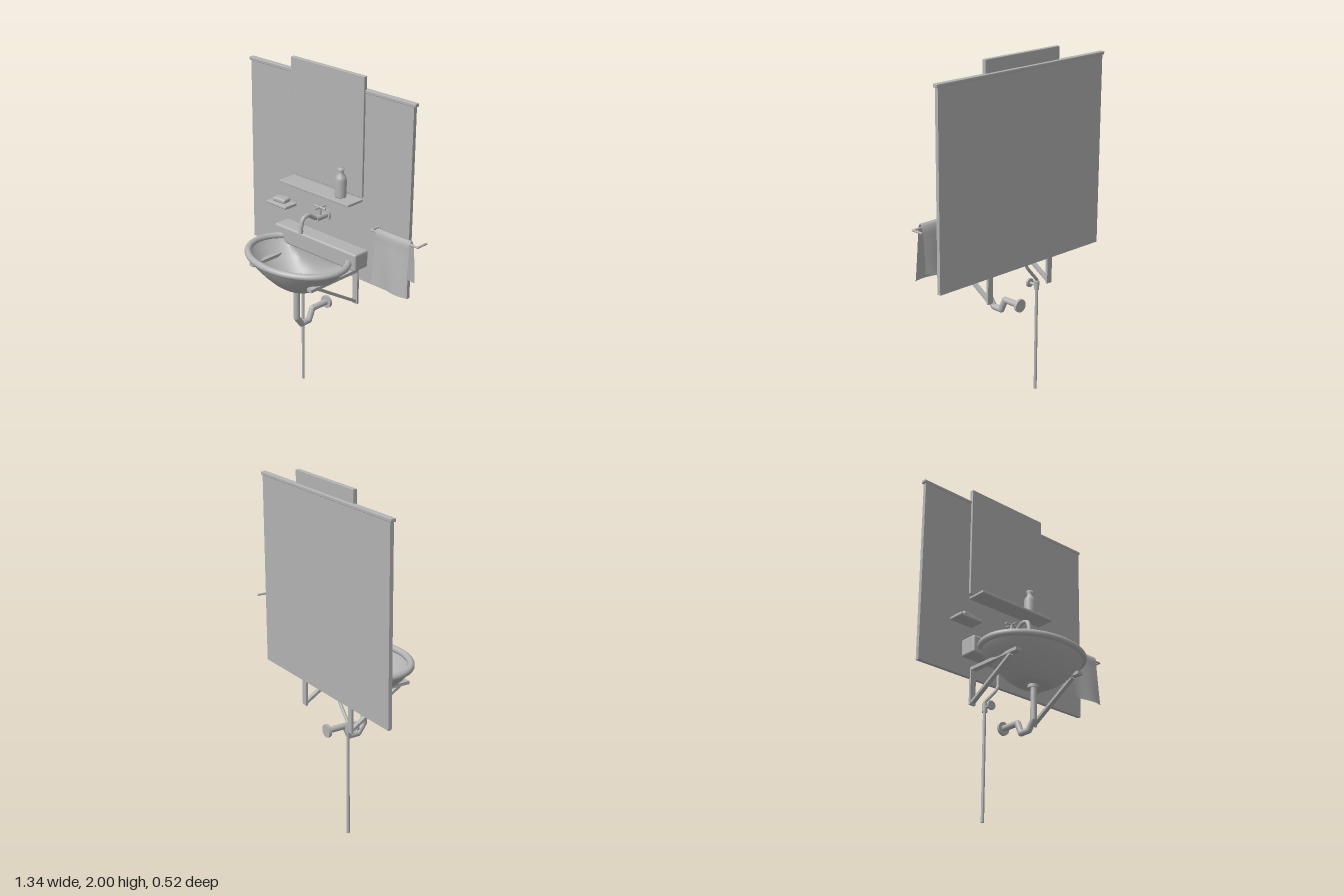
import * as THREE from 'three';
import { RoundedBoxGeometry } from 'three/addons/geometries/RoundedBoxGeometry.js';

const V = (x, y, z) => new THREE.Vector3(x, y, z);

export function createModel() {
  const root = new THREE.Group();
  const grey = new THREE.MeshStandardMaterial({ color: 0xb3b3b3 });
  grey.name = 'grey';
  const greySheet = grey; // one shared colour
  grey.side = THREE.FrontSide;

  const add = (name, geometry, parent = root) => {
    const mesh = new THREE.Mesh(geometry, grey);
    mesh.name = name;
    parent.add(mesh);
    return mesh;
  };
  // box from its limits, optionally with rounded edges
  const box = (name, [x0, x1], [y0, y1], [z0, z1], r = 0, parent = root) => {
    const s = [x1 - x0, y1 - y0, z1 - z0];
    const m = add(name, r ? new RoundedBoxGeometry(...s, 3, r) : new THREE.BoxGeometry(...s), parent);
    m.position.set((x0 + x1) / 2, (y0 + y1) / 2, (z0 + z1) / 2);
    return m;
  };
  // cylinder between two points
  const rod = (name, a, b, r, parent = root) => {
    const m = add(name, new THREE.CylinderGeometry(r, r, a.distanceTo(b), 20), parent);
    m.position.copy(a).lerp(b, 0.5);
    m.quaternion.setFromUnitVectors(V(0, 1, 0), b.clone().sub(a).normalize());
    return m;
  };
  // pipe with straight runs and round joints
  const pipe = (name, pts, r) => {
    const g = new THREE.Group();
    g.name = name;
    root.add(g);
    pts.slice(1).forEach((p, i) => {
      rod('pipeRun', pts[i], p, r, g);
      if (i) add('pipeJoint', new THREE.SphereGeometry(r, 16, 10), g).position.copy(pts[i]);
    });
    return g;
  };

  // wall panel, trim, mirror and shelf
  box('wallPanel', [-0.66, 0.555], [0.81, 1.915], [-0.258, -0.236]);
  box('panelTrim', [-0.672, 0.566], [1.908, 1.927], [-0.263, -0.232], 0.004);
  box('mirror', [-0.325, 0.222], [1.315, 2.0], [-0.247, -0.223], 0.003);
  box('shelf', [-0.32, 0.215], [1.285, 1.3], [-0.24, -0.12], 0.003);

  // bottle
  const bottle = [[0, 0], [0.032, 0], [0.033, 0.004], [0.033, 0.1], [0.028, 0.118],
    [0.016, 0.132], [0.015, 0.15], [0.018, 0.151], [0.018, 0.165], [0, 0.165]];
  add('bottle', new THREE.LatheGeometry(bottle.map(p => new THREE.Vector2(...p)), 28))
    .position.set(0.097, 1.3, -0.187);

  // soap and its dish
  box('soapDish', [-0.455, -0.295], [1.11, 1.129], [-0.238, -0.143], 0.006);
  box('soap', [-0.42, -0.33], [1.129, 1.156], [-0.222, -0.162], 0.01).rotation.y = 0.12;

  // basin bowl: oval lathe with its back cut flat
  const cx = -0.052, cut = -0.14;
  const oval = (name, pts) => {
    const g = new THREE.LatheGeometry(pts.map(p => new THREE.Vector2(...p)), 72);
    const p = g.attributes.position;
    for (let i = 0; i < p.count; i++) {
      p.setXYZ(i, p.getX(i) * 0.335 + cx, p.getY(i), Math.max(p.getZ(i) * 0.26, cut));
    }
    g.computeVertexNormals();
    return add(name, g);
  };
  const outer = [[0, 0.762], [0.3, 0.762], [0.36, 0.768], [0.5, 0.795], [0.68, 0.842], [0.85, 0.895], [0.95, 0.945]];
  oval('bowlOutside', outer);
  oval('bowlInside', [[0.92, 0.953], [0.83, 0.905], [0.66, 0.852], [0.48, 0.805], [0.35, 0.778], [0.29, 0.764]]);

  // rolled rim running from wall side to wall side
  const rim = [];
  const a0 = Math.asin(-0.15 / 0.24);
  for (let i = 0; i <= 40; i++) {
    const a = a0 + (Math.PI - 2 * a0) * i / 40;
    rim.push(V(cx + 0.317 * Math.cos(a), 0.951, 0.24 * Math.sin(a)));
  }
  add('basinRim', new THREE.TubeGeometry(new THREE.CatmullRomCurve3(rim), 90, 0.0195, 14));
  box('basinBack', [-0.37, 0.267], [0.91, 1.014], [-0.236, -0.128], 0.012);

  // tap
  const spout = new THREE.CatmullRomCurve3([V(cx, 1.132, -0.235), V(cx, 1.135, -0.15), V(cx, 1.15, -0.12),
    V(cx, 1.172, -0.085), V(cx, 1.162, -0.045), V(cx, 1.125, -0.03), V(cx, 1.082, -0.025)]);
  add('tapSpout', new THREE.TubeGeometry(spout, 48, 0.012, 14));
  rod('tapMouth', V(cx, 1.08, -0.025), V(cx, 1.095, -0.0265), 0.0135);
  rod('tapFlange', V(cx, 1.132, -0.237), V(cx, 1.132, -0.224), 0.032);
  rod('tapBody', V(cx, 1.132, -0.225), V(cx, 1.132, -0.145), 0.018);
  rod('tapStem', V(cx, 1.13, -0.178), V(cx, 1.19, -0.178), 0.009);
  rod('tapHandle', V(cx - 0.043, 1.192, -0.178), V(cx + 0.043, 1.192, -0.178), 0.006);
  rod('tapHandleCross', V(cx, 1.192, -0.22), V(cx, 1.192, -0.136), 0.006);

  // support brackets
  for (const x of [-0.283, 0.178]) {
    const g = new THREE.Group();
    g.name = 'bracket';
    root.add(g);
    const w = [x - 0.018, x + 0.018];
    box('bracketUpright', w, [0.65, 0.872], [-0.242, -0.228], 0, g);
    box('bracketArm', w, [0.853, 0.872], [-0.236, 0.14], 0, g);
    const a = V(x, 0.853, 0.08), b = V(x, 0.664, -0.232);
    const brace = add('bracketBrace', new THREE.BoxGeometry(0.026, 0.016, a.distanceTo(b)), g);
    brace.position.copy(a).lerp(b, 0.5);
    brace.rotation.x = -Math.atan2(a.y - b.y, a.z - b.z);
  }

  // drain, trap and wall flange
  rod('drainCollar', V(cx, 0.742, 0.003), V(cx, 0.768, 0.003), 0.031);
  pipe('drainTrap', [V(cx, 0.765, 0.008), V(cx, 0.56, 0.008), V(cx, 0.508, -0.03), V(cx, 0.508, -0.09),
    V(cx, 0.575, -0.12), V(cx, 0.575, -0.235)], 0.018);
  rod('drainFlange', V(cx, 0.575, -0.246), V(cx, 0.575, -0.23), 0.038);

  // water supply pipe and shut-off valve
  const sx = -0.215, sz = -0.208;
  pipe('supplyPipe', [V(sx, 0, sz), V(sx, 0.68, sz), V(-0.14, 0.765, sz), V(-0.12, 0.8, sz), V(-0.12, 0.915, sz)], 0.009);
  rod('valveBody', V(sx, 0.62, sz), V(sx, 0.67, sz), 0.015);
  rod('valveStem', V(sx, 0.645, sz), V(sx, 0.645, -0.155), 0.008);
  rod('valveHandle', V(sx, 0.645, -0.16), V(sx, 0.645, -0.148), 0.026);

  // towel rail
  pipe('towelRail', [V(0.338, 1.175, -0.237), V(0.338, 1.175, -0.178), V(0.664, 1.175, -0.178), V(0.664, 1.175, -0.25)], 0.006);
  rod('railEnd', V(0.338, 1.175, -0.24), V(0.338, 1.175, -0.232), 0.014);

  // towel: a folded strip hung over the rail, rippling towards the hems
  const fold = new THREE.CatmullRomCurve3([V(0, 0.875, -0.138), V(0, 1.0, -0.148), V(0, 1.12, -0.16), V(0, 1.18, -0.166),
    V(0, 1.199, -0.18), V(0, 1.18, -0.194), V(0, 1.1, -0.205), V(0, 0.935, -0.218)]);
  const sheet = (offset, flip) => {
    const g = new THREE.PlaneGeometry(0.24, 1, 24, 48);
    const p = g.attributes.position;
    for (let i = 0; i < p.count; i++) {
      const x = p.getX(i), t = p.getY(i) + 0.5;
      const c = fold.getPointAt(t), d = fold.getTangentAt(t);
      const drop = (1.2 - c.y) / 0.32;
      const ripple = 0.009 * drop * Math.sin(x * 26 + t * 3);
      p.setXYZ(i, 0.5 + x, c.y + d.z * offset, c.z + ripple - d.y * offset);
    }
    if (flip) g.setIndex(Array.from(g.index.array).reverse());
    g.computeVertexNormals();
    return g;
  };
  const towel = new THREE.Group();
  towel.name = 'towel';
  root.add(towel);
  add('towelOutside', sheet(-0.002, false), towel);
  add('towelInside', sheet(0.002, true), towel);

  return root;
}
